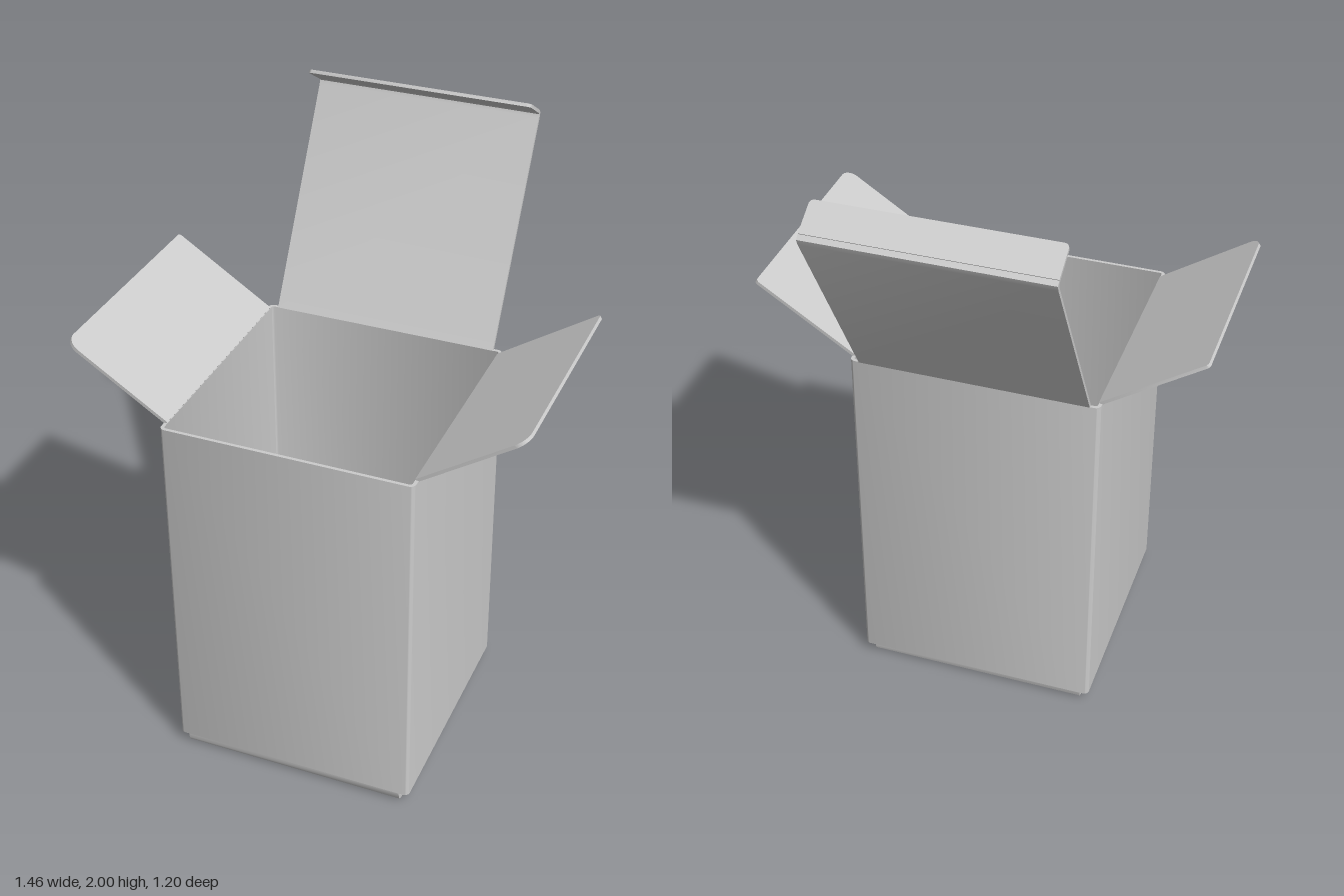
import * as THREE from 'three';
import { toCreasedNormals } from 'three/addons/utils/BufferGeometryUtils.js';

const T = 0.011; // card thickness
const CZ = 0.193; // centre of the carton body in z
const mat = new THREE.MeshStandardMaterial({ color: 0xcccccc, side: THREE.DoubleSide });
const V = (x, y, z) => new THREE.Vector3(x, y, z);

function mesh(name, geo) {
  const m = new THREE.Mesh(toCreasedNormals(geo, 0.6), mat);
  m.name = name;
  return m;
}

// Rounded rectangle centred on the origin
function roundRect(path, hx, hy, r) {
  path.moveTo(-hx + r, -hy);
  path.lineTo(hx - r, -hy);
  path.absarc(hx - r, -hy + r, r, -Math.PI / 2, 0);
  path.absarc(hx - r, hy - r, r, 0, Math.PI / 2);
  path.absarc(-hx + r, hy - r, r, Math.PI / 2, Math.PI);
  path.absarc(-hx + r, -hy + r, r, Math.PI, Math.PI * 1.5);
  return path;
}

// Flat card flap: square at its hinge, rounded at its two free corners
function flap(name, width, length, rStart, rEnd, origin, widthDir, lengthDir) {
  const h = width / 2;
  const s = new THREE.Shape();
  s.moveTo(-h, 0);
  s.lineTo(h, 0);
  s.lineTo(h, length - rEnd);
  s.absarc(h - rEnd, length - rEnd, rEnd, 0, Math.PI / 2);
  s.lineTo(-h + rStart, length);
  s.absarc(-h + rStart, length - rStart, rStart, Math.PI / 2, Math.PI);
  const geo = new THREE.ExtrudeGeometry(s, { depth: T, bevelEnabled: false, curveSegments: 8 });
  geo.translate(0, 0, -T / 2);
  const l = lengthDir.clone().normalize();
  const basis = new THREE.Matrix4().makeBasis(widthDir, l, widthDir.clone().cross(l));
  geo.applyMatrix4(basis.setPosition(origin));
  return mesh(name, geo);
}

// Bent card: a line of [z, y] points given thickness and swept across x
function bentCard(name, points, width) {
  const p = points.map(([z, y]) => new THREE.Vector2(z, y));
  const side = (sign) => p.map((q, i) => {
    const a = q.clone().sub(p[Math.max(i - 1, 0)]).normalize();
    const b = p[Math.min(i + 1, p.length - 1)].clone().sub(q).normalize();
    const t = a.clone().add(b).normalize();
    const cosHalf = a.length() && b.length() ? t.dot(a) : 1;
    return new THREE.Vector2(-t.y, t.x).multiplyScalar(sign * T / 2 / cosHalf).add(q);
  });
  const s = new THREE.Shape([...side(-1), ...side(1).reverse()]);
  const geo = new THREE.ExtrudeGeometry(s, { depth: width, bevelEnabled: false });
  geo.translate(0, 0, -width / 2).rotateY(-Math.PI / 2);
  return mesh(name, geo);
}

export function createModel() {
  const group = new THREE.Group();
  group.name = 'openCarton';

  // Four walls as one open tube
  const wall = roundRect(new THREE.Shape(), 0.41, 0.41, 0.018);
  wall.holes.push(roundRect(new THREE.Path(), 0.41 - T, 0.41 - T, 0.008));
  const walls = new THREE.ExtrudeGeometry(wall, { depth: 1.224, bevelEnabled: false, curveSegments: 6 });
  walls.rotateX(-Math.PI / 2).translate(0, 0.037, CZ);
  group.add(mesh('walls', walls));

  // Side dust flaps: open at the top, folded shut at the bottom
  const z = V(0, 0, 1);
  for (const [side, s] of [['left', 1], ['right', -1]]) {
    group.add(flap(side + 'TopFlap', 0.755, 0.39, 0.012, 0.045,
      V(s * 0.402, 1.26, 0.188), z, V(s * 0.327, 0.214, 0)));
    group.add(flap(side + 'BottomFlap', 0.755, 0.383, 0.012, 0.02,
      V(s * 0.403, 0.032, 0.188), z, V(-s, 0, 0)));
  }

  // Lid hinged on the back wall, with its tuck flap
  const x = V(1, 0, 0);
  group.add(bentCard('lid', [[-0.21, 1.258], [-0.588, 1.912], [-0.593, 1.926], [-0.583, 1.936]], 0.756));
  group.add(flap('lidTuckFlap', 0.756, 0.112, 0.015, 0.015,
    V(0, 1.936, -0.583), x, V(0, 0.06, 0.1)));

  // Bottom panel hinged on the front wall, tucked up inside the back wall
  group.add(bentCard('bottomPanel', [
    [0.597, 0.038], [0.596, 0.022], [0.59, 0.011], [0.578, 0.0055],
    [-0.185, 0.0055], [-0.195, 0.01], [-0.198, 0.022], [-0.198, 0.035],
  ], 0.756));
  group.add(flap('bottomTuckFlap', 0.756, 0.1, 0.015, 0.015, V(0, 0.035, -0.198), x, V(0, 1, 0)));

  return group;
}
